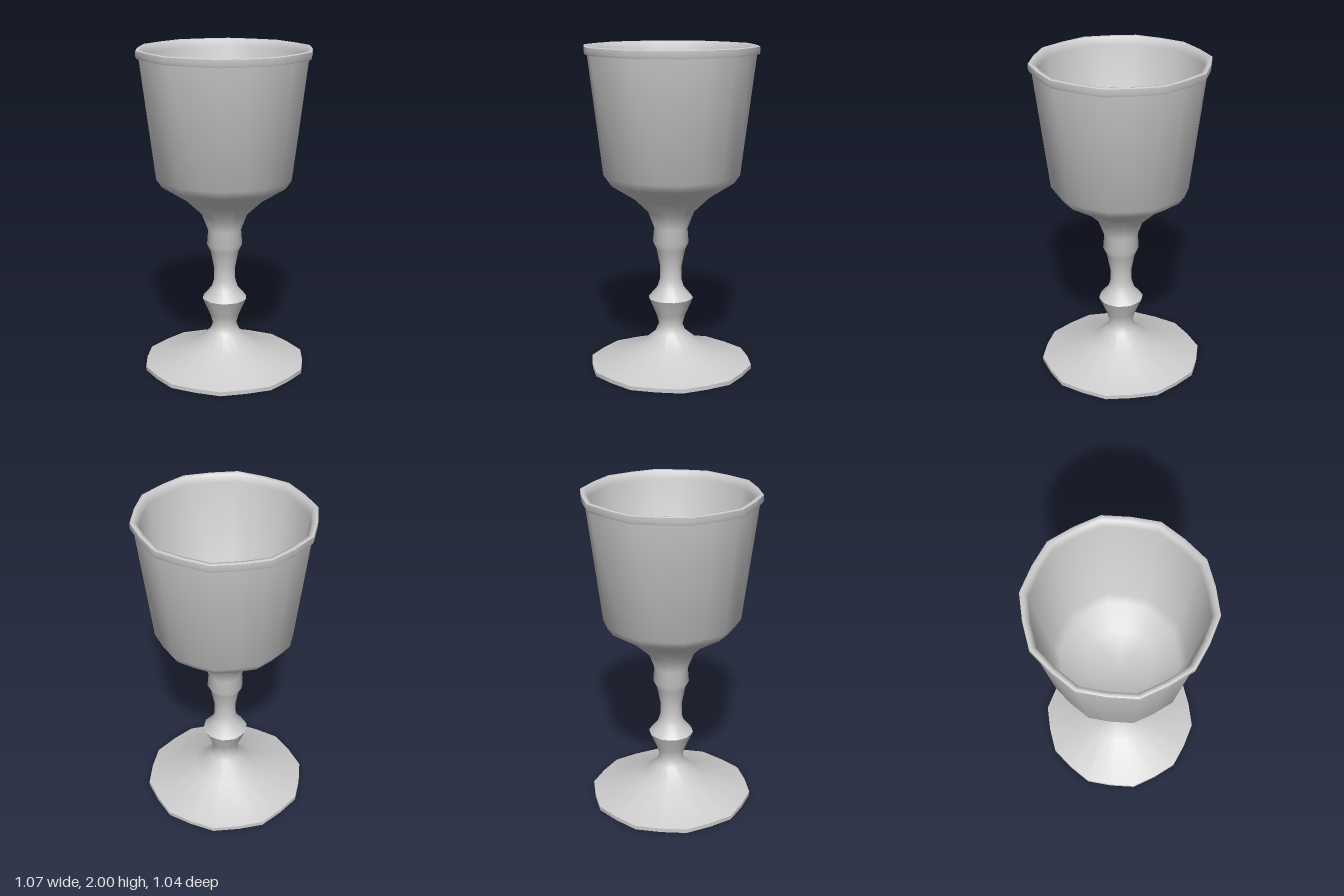
import * as THREE from 'three';
import { toCreasedNormals } from 'three/addons/utils/BufferGeometryUtils.js';

const material = new THREE.MeshStandardMaterial({ color: 0xcccccc });

// Turns a profile of [radius, height] into a slightly rounded ten-sided solid.
function facetedLathe(name, profile) {
  const points = profile.map(([r, y]) => new THREE.Vector2(r, y));
  const geometry = new THREE.LatheGeometry(points, 20, Math.PI / 2 + 0.02);
  const pos = geometry.attributes.position;
  for (let i = 0; i < pos.count; i++) {
    // Every second column lies between two corners and is pulled inwards
    if (Math.floor(i / points.length) % 2 === 1) {
      pos.setX(i, pos.getX(i) * 0.97);
      pos.setZ(i, pos.getZ(i) * 0.97);
    }
  }
  const mesh = new THREE.Mesh(toCreasedNormals(geometry, Math.PI / 3), material);
  mesh.name = name;
  return mesh;
}

export function createModel() {
  const goblet = new THREE.Group();
  goblet.name = 'goblet';

  // Foot, knotted stem and outside of the bowl in one continuous surface
  goblet.add(facetedLathe('footStemAndBowl', [
    [0, 0], [0.51, 0], [0.51, 0.025], [0.21, 0.125], [0.095, 0.22],
    [0.075, 0.27], [0.092, 0.33], [0.14, 0.44], [0.085, 0.505],
    [0.068, 0.56], [0.068, 0.64], [0.09, 0.75], [0.112, 0.795], [0.105, 0.885],
    [0.145, 0.99], [0.24, 1.08], [0.39, 1.175], [0.425, 1.225], [0.516, 1.95],
  ]));

  // Lip of the bowl and its hollow inside
  goblet.add(facetedLathe('rimAndBowlInside', [
    [0.51, 1.95], [0.53, 1.95], [0.535, 1.965], [0.535, 1.995], [0.525, 2],
    [0.505, 1.995], [0.49, 1.95], [0.405, 1.24], [0.365, 1.19], [0.22, 1.1], [0, 1.06],
  ]));

  return goblet;
}
